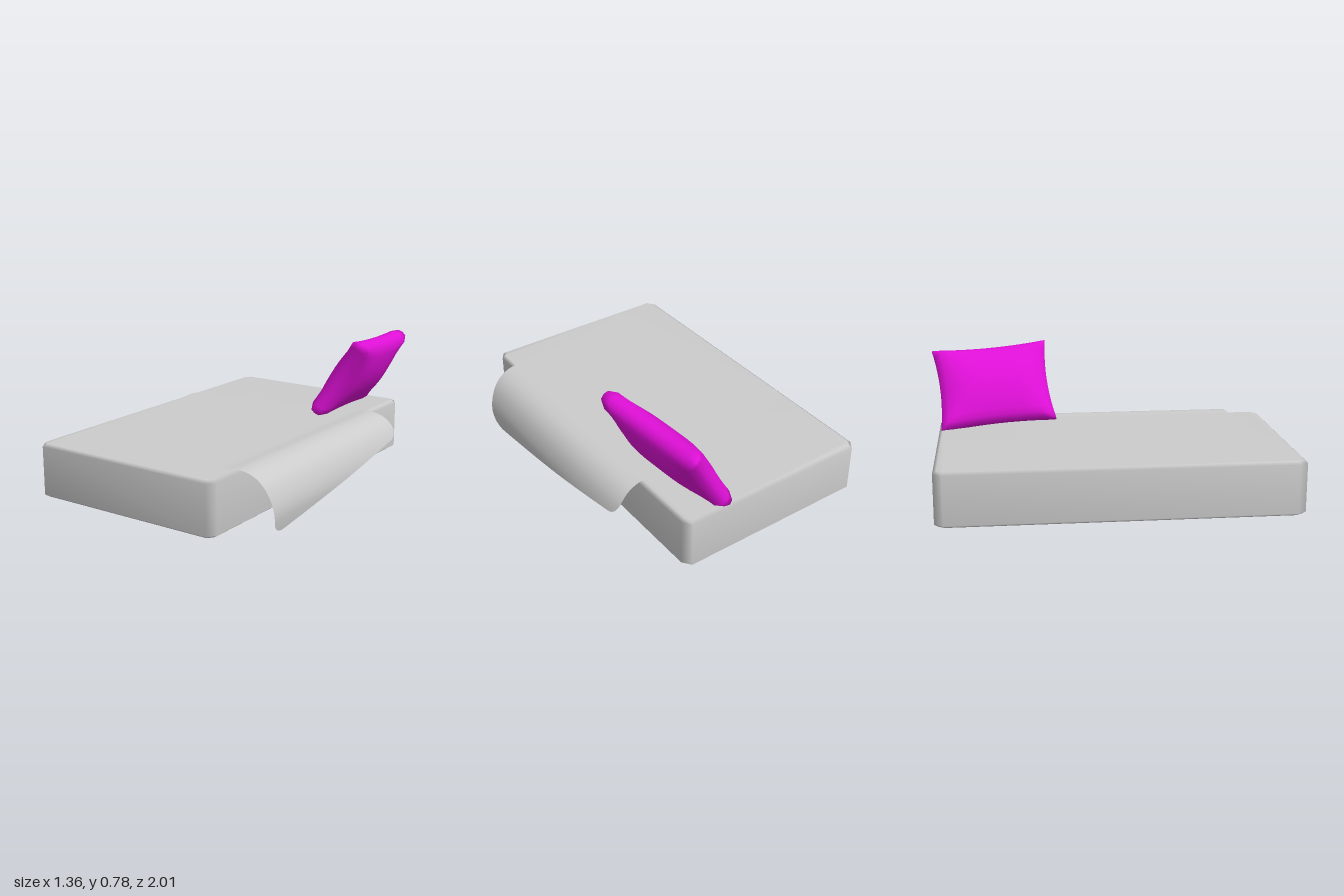
import * as THREE from 'three';
import { mergeVertices } from 'three/addons/utils/BufferGeometryUtils.js';

const grey = () => new THREE.MeshStandardMaterial({ color: 0xcccccc });

// Weld all vertices so the shading runs smoothly over the edges
function smooth(geometry) {
  geometry.deleteAttribute('uv');
  geometry.deleteAttribute('normal');
  const welded = mergeVertices(geometry, 1e-4);
  welded.computeVertexNormals();
  return welded;
}

function named(name, geometry, material) {
  const mesh = new THREE.Mesh(geometry, material);
  mesh.name = name;
  return mesh;
}

// Slab with chamfered upright corners and a narrow bevel around top and bottom
function createMattress() {
  const bevel = 0.02, hx = 0.58 - bevel, hz = 0.985 - bevel, cx = 0.025, cz = 0.035;
  const outline = new THREE.Shape([
    [-hx + cx, -hz], [hx - cx, -hz], [hx, -hz + cz], [hx, hz - cz],
    [hx - cx, hz], [-hx + cx, hz], [-hx, hz - cz], [-hx, -hz + cz],
  ].map(([x, z]) => new THREE.Vector2(x, z)));
  const bevelHeight = 0.015;
  const geometry = new THREE.ExtrudeGeometry(outline, {
    depth: 0.3 - 2 * bevelHeight, bevelThickness: bevelHeight, bevelSize: bevel, bevelSegments: 1,
  });
  geometry.rotateX(-Math.PI / 2);
  geometry.translate(-0.1, 0.03 + bevelHeight, 0.015);
  return named('mattress', smooth(geometry), grey());
}

// Round-cornered sheet lying askew, bent over the mattress edge beyond x = 0.42
function createBlanket() {
  const bendStart = 0.42, top = 0.338;
  const drape = new THREE.CatmullRomCurve3([
    [0.42, top], [0.5, 0.342], [0.57, 0.322], [0.625, 0.275],
    [0.662, 0.205], [0.678, 0.13], [0.672, 0.06], [0.66, 0],
  ].map(([x, y]) => new THREE.Vector3(x, y, 0)));
  const drapeLength = drape.getLength();
  const w = 0.7, h = 0.672, r = 0.08, turn = 0.155;
  const geometry = new THREE.PlaneGeometry(2, 2, 64, 48);
  geometry.rotateX(-Math.PI / 2);
  const p = geometry.attributes.position;
  for (let i = 0; i < p.count; i++) {
    // Sine spacing packs rows into the rounded corners
    const b = h * Math.sin(p.getZ(i) * Math.PI / 2);
    const over = Math.max(0, Math.abs(b) - (h - r));
    const a = p.getX(i) * (w - r + Math.sqrt(Math.max(0, r * r - over * over)));
    const x = 0.128 + a * Math.cos(turn) + b * Math.sin(turn);
    const z = 0.173 - a * Math.sin(turn) + b * Math.cos(turn);
    if (x <= bendStart) {
      p.setXYZ(i, x, top, z);
    } else {
      const q = drape.getPointAt(Math.min(1, (x - bendStart) / drapeLength));
      p.setXYZ(i, q.x, q.y, z);
    }
  }
  geometry.computeVertexNormals();
  const material = grey();
  material.side = THREE.DoubleSide;
  return named('blanket', geometry, material);
}

// Plump cushion: thick in the middle, thinner at the rim, sides drawn in between the corners
function createPillow() {
  const geometry = new THREE.BoxGeometry(2, 2, 2, 4, 12, 12);
  const p = geometry.attributes.position;
  for (let i = 0; i < p.count; i++) {
    const t = p.getX(i), v = p.getY(i), u = p.getZ(i);
    const half = 0.055 + 0.045 * (1 - v * v) * (1 - u ** 4);
    const rim = 1 - 0.12 * Math.abs(t) ** 3;
    p.setXYZ(i,
      t * half,
      v * rim * (1.03 - 0.07 * (1 - u * u)),
      u * rim * (1.03 - 0.07 * (1 - v * v)));
  }
  // Half-height leans to +x; half-length runs mostly along z
  const height = new THREE.Vector3(0.128, 0.208, -0.025);
  const length = new THREE.Vector3(0.038, 0.02, 0.332);
  const thickness = new THREE.Vector3().crossVectors(height, length).normalize();
  const placement = new THREE.Matrix4().makeBasis(thickness, height, length);
  placement.setPosition(0.375, 0.556, -0.643);
  geometry.applyMatrix4(placement);
  return named('pillow', smooth(geometry), new THREE.MeshStandardMaterial({ color: 0xe010d8 }));
}

export function createModel() {
  const group = new THREE.Group();
  group.name = 'bedding';
  group.add(createMattress(), createBlanket(), createPillow());
  return group;
}
